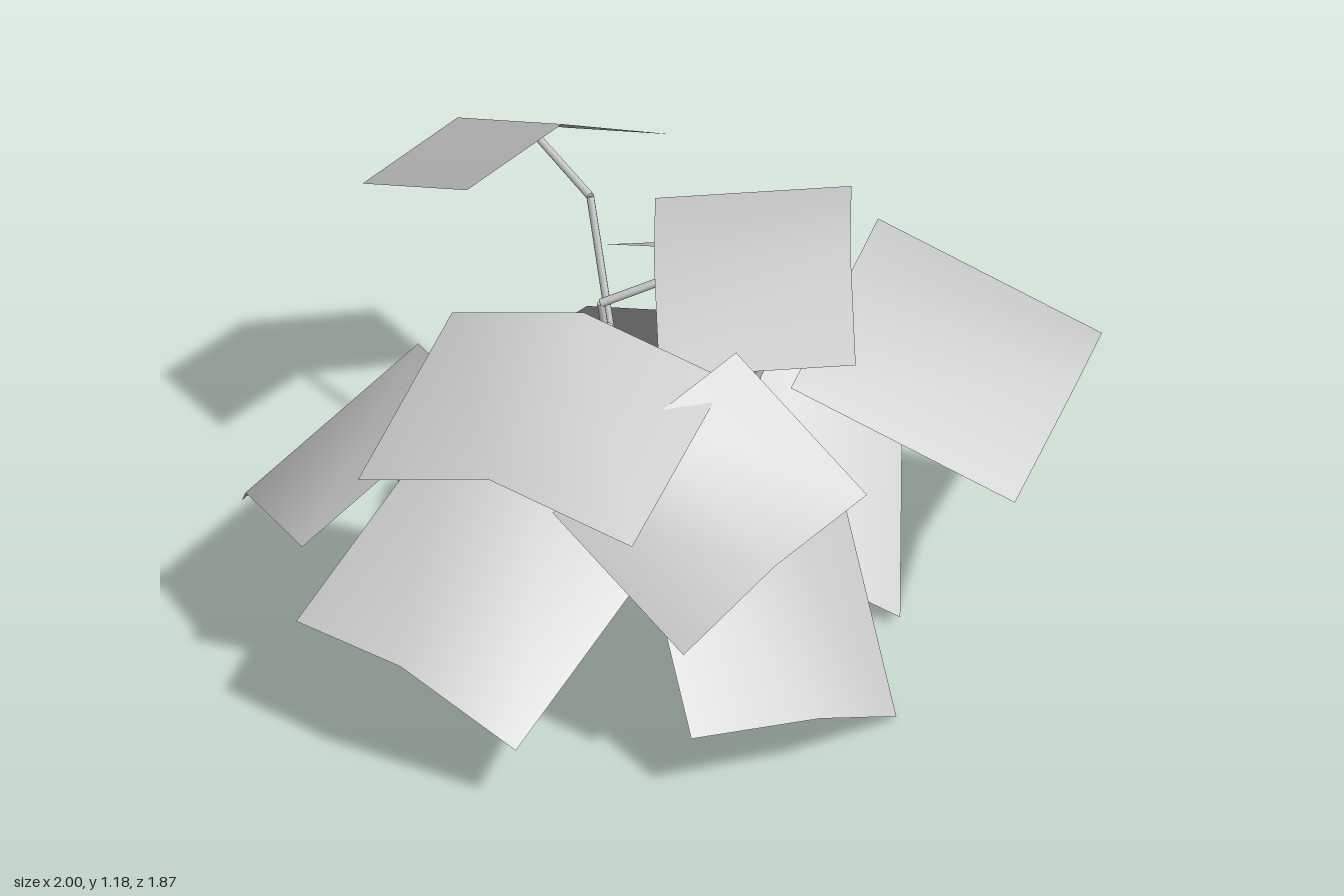
import * as THREE from 'three';

const V = (p) => new THREE.Vector3(...p);
const material = new THREE.MeshStandardMaterial({ color: 0xcccccc, side: THREE.DoubleSide });

// Each leaf: inner corners a and b, reach u from inner to outer edge, foot of its stem
// (straight: the stem runs to the leaf without a bend)
const LEAVES = [
  { a: [-0.42, 0.91, 0.19], b: [0.33, 0.905, 0.20], u: [0, -0.165, 0.58], foot: [-0.1, 0.12, -0.08] },
  { a: [0.43, 0.81, 0.03], b: [0.34, 0.87, -0.71], u: [0.565, -0.25, -0.10], foot: [0.02, 0.12, -0.2] },
  { a: [-0.12, 1.00, -0.38], b: [0.13, 0.84, 0.16], u: [0.45, 0.04, -0.19], foot: [-0.06, 0.12, -0.15] },
  { a: [-0.16, 1.07, -0.57], b: [-0.49, 1.11, -0.06], u: [-0.39, -0.21, -0.24], foot: [-0.02, 0.12, -0.1] },
  { a: [-0.26, 0.82, -0.40], b: [0.33, 0.79, -0.28], u: [0.09, -0.21, -0.44], foot: [-0.05, 0.12, -0.29] },
  { a: [-0.69, 0.52, -0.19], b: [-0.31, 0.75, 0.30], u: [-0.31, -0.31, 0.36], foot: [-0.51, 0.15, 0.1], straight: true },
  { a: [-0.41, 0.64, 0.28], b: [0.24, 0.49, 0.40], u: [-0.16, -0.32, 0.53], foot: [-0.27, 0.09, 0.5], straight: true },
  { a: [0.33, 0.95, 0.14], b: [0.03, 0.66, 0.59], u: [0.40, -0.26, 0.10], foot: [0.09, 0.11, 0.05] },
  { a: [0.50, 0.48, -0.11], b: [0.19, 0.65, 0.45], u: [0.27, -0.475, 0.26], foot: [0.25, 0.11, 0.2], straight: true },
  { a: [0.49, 0.46, -0.52], b: [-0.06, 0.67, -0.29], u: [0.18, -0.33, 0.42], foot: [0.02, 0.12, -0.15] },
  { a: [0.09, 0.31, 0.04], b: [-0.22, 0.435, -0.57], u: [-0.50, -0.27, 0.26], foot: [-0.17, 0.11, -0.23], straight: true },
  { a: [0.02, 0.62, -0.52], b: [-0.58, 0.43, -0.24], u: [-0.11, -0.43, -0.42], foot: [-0.2, 0.11, -0.45], straight: true },
];

// Leaf blade: two panels meeting at a raised midrib
function leafBlade(a, b, rib, u) {
  const inner = [a, rib, b];
  const points = [...inner, ...inner.map((p) => p.clone().add(u))];
  const geometry = new THREE.BufferGeometry().setFromPoints(points);
  geometry.setIndex([0, 3, 1, 1, 3, 4, 1, 4, 2, 2, 4, 5]);
  geometry.computeVertexNormals();
  const mesh = new THREE.Mesh(geometry, material);
  mesh.name = 'leafBlade';
  return mesh;
}

// Straight stem piece between two points
function stemPiece(from, to) {
  const dir = to.clone().sub(from);
  const mesh = new THREE.Mesh(new THREE.CylinderGeometry(0.01, 0.011, dir.length(), 8), material);
  mesh.position.copy(from).addScaledVector(dir, 0.5);
  mesh.quaternion.setFromUnitVectors(new THREE.Vector3(0, 1, 0), dir.normalize());
  mesh.name = 'stem';
  return mesh;
}

export function createModel() {
  const plant = new THREE.Group();
  plant.name = 'plant';
  for (const spec of LEAVES) {
    let a = V(spec.a), b = V(spec.b);
    const u = V(spec.u);
    const width = b.clone().sub(a);
    const up = width.clone().cross(u).normalize();
    // Keep the upper side of every blade on the same winding
    if (up.y < 0) {
      up.negate();
      [a, b] = [b, a];
    }
    const rib = a.clone().add(b).multiplyScalar(0.5).addScaledVector(up, 0.16 * width.length());

    const leaf = new THREE.Group();
    leaf.name = 'leaf';
    leaf.add(leafBlade(a, b, rib, u));

    // Stem ends under the midrib, bending at a knee short of the inner edge
    const foot = V(spec.foot);
    const tip = rib.clone().addScaledVector(u, 0.33).addScaledVector(up, -0.012);
    const path = [foot, tip];
    if (!spec.straight) {
      const knee = rib.clone().addScaledVector(u, -0.27);
      knee.y = foot.y + 0.86 * (rib.y - foot.y);
      path.splice(1, 0, knee);
    }
    for (let i = 1; i < path.length; i++) leaf.add(stemPiece(path[i - 1], path[i]));
    plant.add(leaf);
  }
  return plant;
}
